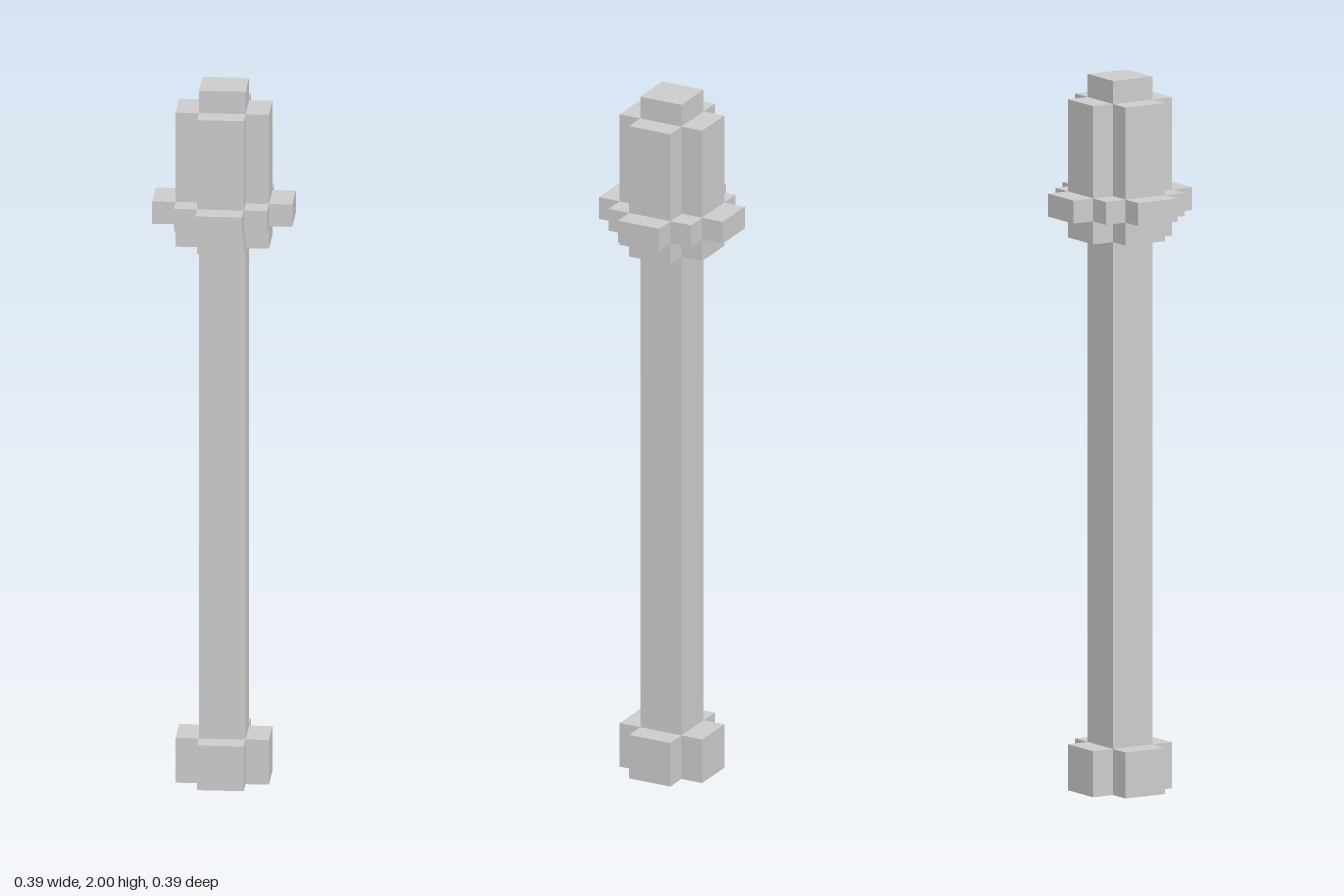
import * as THREE from 'three';

// The pillar sits on a cube grid, 31 cells tall
const CELL = 2 / 31;

// One quarter of each plan outline, in cells; turned four times to close it
const SQUARE = [[1, -1]];
const CROSS = [[2, -1], [2, 1], [1, 1]];
const STEPPED = [[3, -1], [3, 1], [2, 1], [2, 2], [1, 2]];

function planShape(quarter) {
  const points = [];
  for (let turn = 0; turn < 4; turn++) {
    for (const [x, y] of quarter) {
      let p = [x, y];
      for (let i = 0; i < turn; i++) p = [-p[1], p[0]];
      points.push(new THREE.Vector2(p[0] * CELL, p[1] * CELL));
    }
  }
  return new THREE.Shape(points);
}

export function createModel() {
  const group = new THREE.Group();
  group.name = 'post';
  const material = new THREE.MeshStandardMaterial({ color: 0xcccccc, flatShading: true });

  // Upright prism between two grid levels
  function addTier(name, quarter, bottom, top) {
    const geometry = new THREE.ExtrudeGeometry(planShape(quarter), {
      depth: (top - bottom) * CELL,
      bevelEnabled: false,
    });
    geometry.rotateX(-Math.PI / 2);
    const mesh = new THREE.Mesh(geometry, material);
    mesh.name = name;
    mesh.position.y = bottom * CELL;
    group.add(mesh);
  }

  addTier('base', CROSS, 0, 2);
  addTier('shaft', SQUARE, 2, 24);
  addTier('headFoot', CROSS, 24, 25);
  addTier('collar', STEPPED, 25, 26);
  addTier('head', CROSS, 26, 30);
  addTier('cap', SQUARE, 30, 31);

  return group;
}
